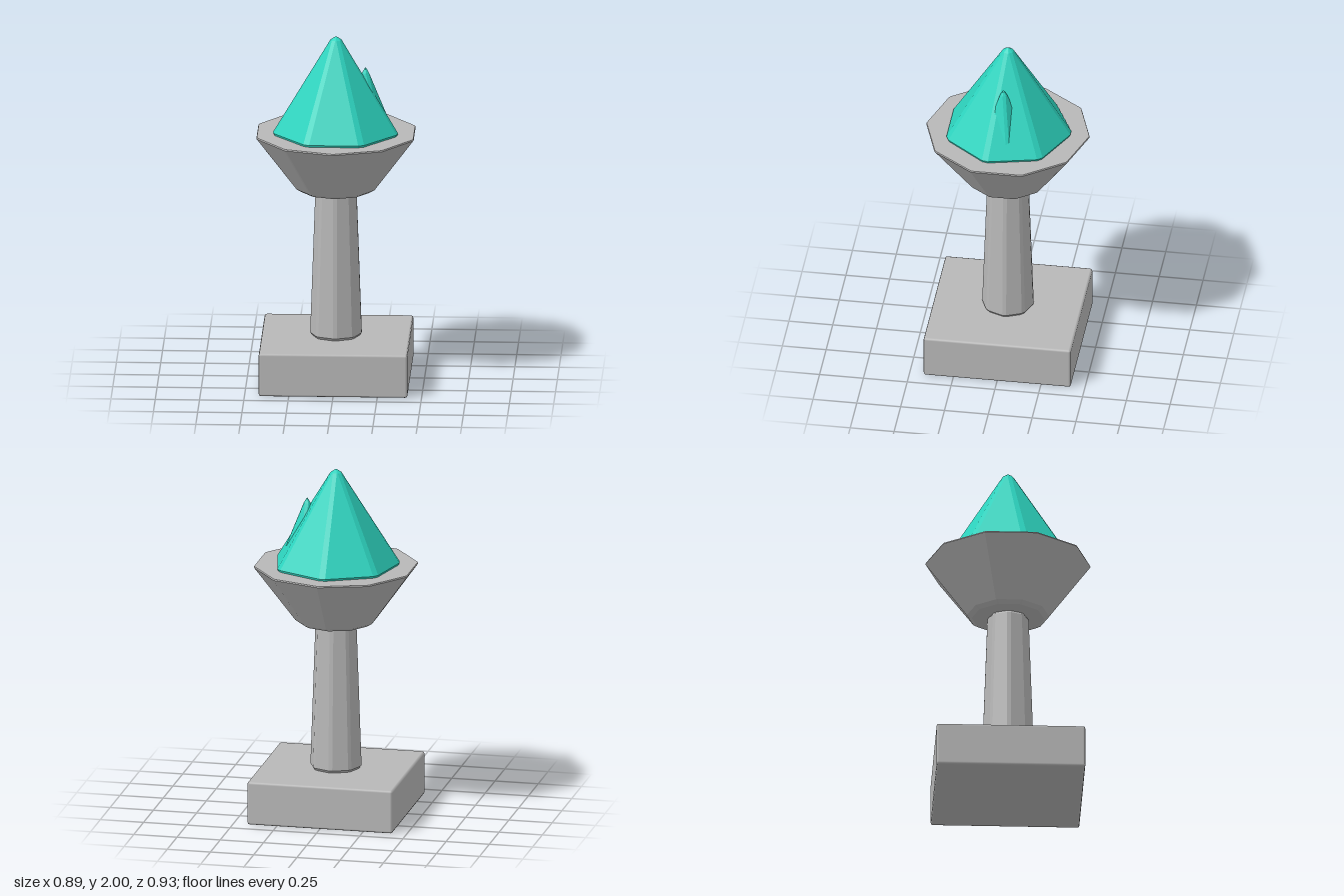
import * as THREE from 'three';
import { RoundedBoxGeometry } from 'three/addons/geometries/RoundedBoxGeometry.js';

// One polygon ring with a corner towards -z; each corner is cut back by `cut` along its edges.
function ring(sides, y, radius, cut) {
  const corner = (i) => {
    const a = (i / sides) * Math.PI * 2;
    return new THREE.Vector3(Math.sin(a) * radius, y, -Math.cos(a) * radius);
  };
  const t = Math.min(0.4, cut / (2 * radius * Math.sin(Math.PI / sides)));
  const points = [];
  for (let i = 0; i < sides; i++) {
    points.push(corner(i).lerp(corner(i - 1), t), corner(i).lerp(corner(i + 1), t));
  }
  return points;
}

// Faceted solid lofted through [y, radius] rings, from bottom to top, with flat normals.
function facetedSolid(sides, profile, cut) {
  const rings = profile.map(([y, radius]) => ring(sides, y, radius, cut));
  const last = rings.length - 1;
  const bottom = new THREE.Vector3(0, profile[0][0], 0);
  const top = new THREE.Vector3(0, profile[last][0], 0);
  const corners = [];
  const count = sides * 2;
  for (let i = 0; i < count; i++) {
    const j = (i + 1) % count;
    for (let k = 0; k < last; k++) {
      const a = rings[k], b = rings[k + 1];
      corners.push(a[i], b[i], b[j], a[i], b[j], a[j]);
    }
    corners.push(bottom, rings[0][i], rings[0][j]);
    corners.push(top, rings[last][j], rings[last][i]);
  }
  const geometry = new THREE.BufferGeometry().setFromPoints(corners);
  geometry.computeVertexNormals();
  return geometry;
}

export function createModel() {
  const stone = new THREE.MeshStandardMaterial({ color: 0xb8b8b8 });
  stone.name = 'grey stone';
  const crystal = new THREE.MeshStandardMaterial({ color: 0x2dd4bf });
  crystal.name = 'teal crystal';

  const model = new THREE.Group();
  model.name = 'crystalPedestal';
  const add = (name, geometry, material, x = 0, y = 0) => {
    const mesh = new THREE.Mesh(geometry, material);
    mesh.name = name;
    mesh.position.set(x, y, 0);
    model.add(mesh);
  };

  // Square plinth with softened edges
  add('base', new RoundedBoxGeometry(0.84, 0.25, 0.84, 1, 0.013), stone, 0, 0.125);

  // Tapered eight-sided column
  add('pillar', facetedSolid(8, [[0.25, 0.138], [0.265, 0.15], [1.09, 0.121], [1.105, 0.111]], 0.012), stone);

  // Ten-sided flared bowl with a flat top
  add('bowl', facetedSolid(10, [[1.103, 0.205], [1.12, 0.233], [1.433, 0.467], [1.44, 0.464]], 0.006), stone);

  // Seven-sided main crystal with bevelled edges and blunt tip
  add('mainCrystal', facetedSolid(7, [[1.44, 0.362], [1.452, 0.367], [1.98, 0.035], [2.0, 0.002]], 0.02), crystal);

  // Five-sided shard growing out of the left flank
  add('smallCrystal', facetedSolid(5, [[1.445, 0.165], [1.79, 0.024], [1.82, 0.002]], 0.012), crystal, 0.167);

  return model;
}
